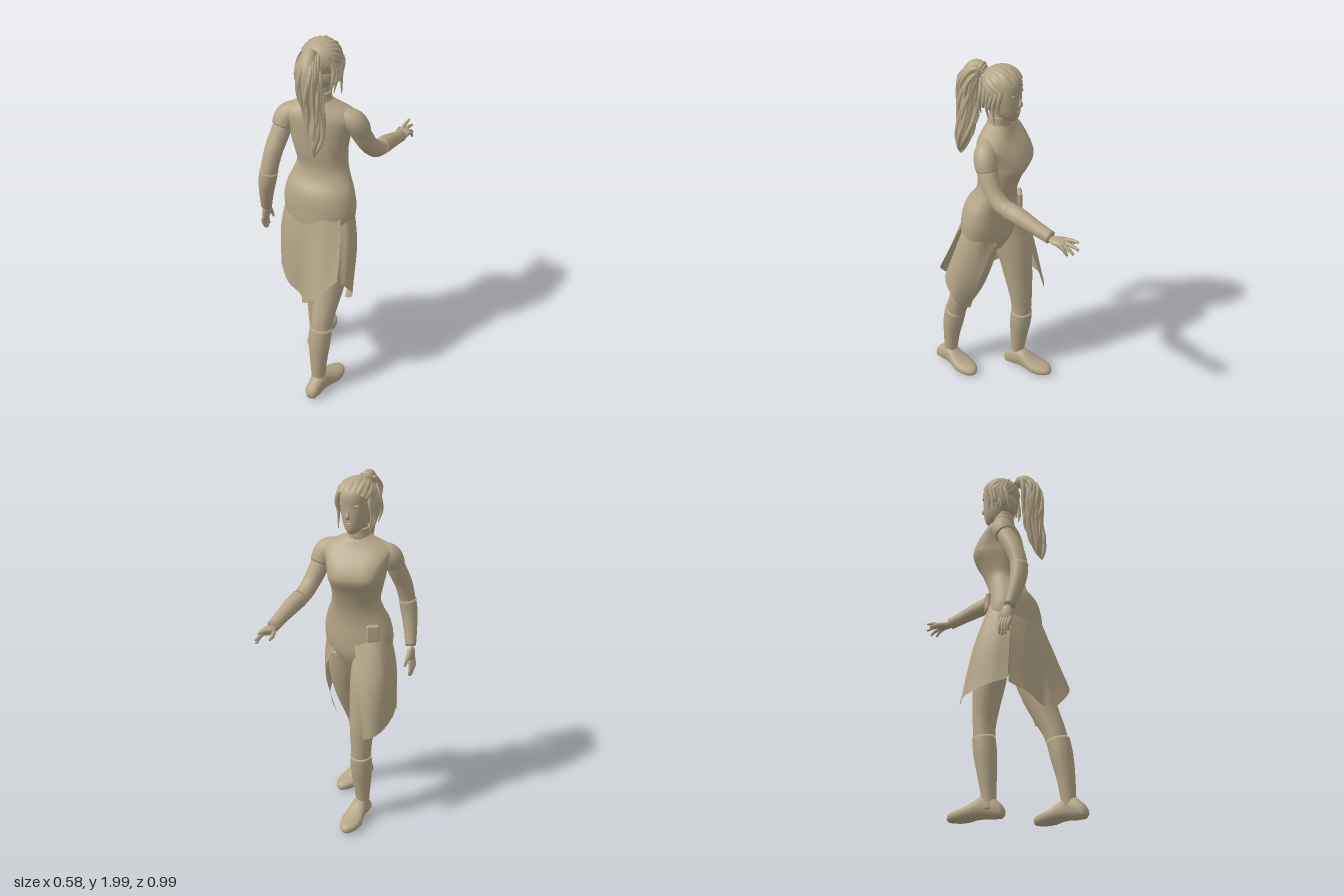
import * as THREE from 'three';
import { RoundedBoxGeometry } from 'three/addons/geometries/RoundedBoxGeometry.js';

const clay = new THREE.MeshStandardMaterial({ color: 0xb5a688, side: THREE.DoubleSide });
clay.name = 'tan clay';
const V = (x, y, z) => new THREE.Vector3(x, y, z);

function add(parent, name, geometry) {
  const mesh = new THREE.Mesh(geometry, clay);
  mesh.name = name;
  parent.add(mesh);
  return mesh;
}

// Skin a list of closed rings and cap both ends
function skin(rings) {
  const n = rings[0].length, pos = [], idx = [];
  rings.forEach(r => r.forEach(p => pos.push(p.x, p.y, p.z)));
  for (let i = 0; i < rings.length - 1; i++)
    for (let j = 0; j < n; j++) {
      const a = i * n + j, b = i * n + (j + 1) % n;
      idx.push(a, a + n, b, b, a + n, b + n);
    }
  [0, rings.length - 1].forEach(i => {
    const c = V(0, 0, 0);
    rings[i].forEach(p => c.addScaledVector(p, 1 / n));
    const k = pos.length / 3;
    pos.push(c.x, c.y, c.z);
    for (let j = 0; j < n; j++) {
      const a = i * n + j, b = i * n + (j + 1) % n;
      if (i === 0) idx.push(k, a, b); else idx.push(k, b, a);
    }
  });
  const g = new THREE.BufferGeometry();
  g.setAttribute('position', new THREE.Float32BufferAttribute(pos, 3));
  g.setIndex(idx);
  g.computeVertexNormals();
  return g;
}

// Round limb through [x, y, z, radius] stations
function limb(stations, sides = 18, steps = 6) {
  const path = new THREE.CatmullRomCurve3(stations.map(s => V(s[0], s[1], s[2])));
  const radii = new THREE.CatmullRomCurve3(stations.map((s, i) => V(i, s[3], 0)));
  const count = (stations.length - 1) * steps, rings = [];
  let normal = V(1, 0, 0.01);
  for (let i = 0; i <= count; i++) {
    const t = i / count, p = path.getPoint(t), T = path.getTangent(t);
    normal = normal.clone().addScaledVector(T, -normal.dot(T)).normalize();
    const B = normal.clone().cross(T), r = Math.max(radii.getPoint(t).y, 0.001);
    rings.push(Array.from({ length: sides }, (_, j) => {
      const a = j / sides * Math.PI * 2;
      return p.clone().addScaledVector(normal, r * Math.cos(a)).addScaledVector(B, r * Math.sin(a));
    }));
  }
  return skin(rings);
}

// Upright form from [y, centreX, centreZ, halfWidth, backDepth, frontDepth, turn, frontRoundness]
function upright(levels, steps = 4, sides = 40) {
  const channel = k => new THREE.SplineCurve(levels.map((l, i) => new THREE.Vector2(i, l[k] ?? 0.9)));
  const curves = [0, 1, 2, 3, 4, 5, 6, 7].map(channel), count = (levels.length - 1) * steps;
  return skin(Array.from({ length: count + 1 }, (_, i) => {
    const [y, cx, cz, w, back, front, turn, round] = curves.map(c => c.getPoint(i / count).y);
    return Array.from({ length: sides }, (_, j) => {
      const a = j / sides * Math.PI * 2, s = Math.sin(a), c = Math.cos(a);
      const e = s > 0 ? (1 + round) / 2 : round;
      const x = w * Math.sign(c) * Math.pow(Math.abs(c), e);
      const z = (s > 0 ? back : -front) * Math.pow(Math.abs(s), e);
      return V(cx + x * Math.cos(turn) + z * Math.sin(turn), y, cz - x * Math.sin(turn) + z * Math.cos(turn));
    });
  }));
}

// Cloth panel through columns of waist, middle and hem points
function panel(cols, nu = 24, nv = 14) {
  const down = cols.map(c => new THREE.CatmullRomCurve3(c.map(p => V(...p))));
  const pos = [], idx = [];
  for (let v = 0; v <= nv; v++) {
    const across = new THREE.CatmullRomCurve3(down.map(c => c.getPoint(v / nv)));
    for (let u = 0; u <= nu; u++) pos.push(...across.getPoint(u / nu).toArray());
  }
  for (let v = 0; v < nv; v++)
    for (let u = 0; u < nu; u++) {
      const a = v * (nu + 1) + u, b = a + nu + 1;
      idx.push(a, b, a + 1, a + 1, b, b + 1);
    }
  const g = new THREE.BufferGeometry();
  g.setAttribute('position', new THREE.Float32BufferAttribute(pos, 3));
  g.setIndex(idx);
  g.computeVertexNormals();
  return g;
}

// Shoe from [z, halfWidth, sole, top], heel to toe
function shoe(parent, name, x, z, turn) {
  const secs = [[0.128, 0.02, 0.012, 0.05], [0.112, 0.036, 0, 0.075], [0.07, 0.041, 0, 0.115], [0.02, 0.043, 0.006, 0.13], [-0.02, 0.05, 0.006, 0.1],
    [-0.07, 0.06, 0, 0.074], [-0.11, 0.056, 0, 0.062], [-0.145, 0.042, 0.003, 0.055], [-0.165, 0.026, 0.008, 0.047], [-0.173, 0.01, 0.015, 0.035]];
  const m = add(parent, name, skin(secs.map(([sz, w, lo, hi]) => Array.from({ length: 20 }, (_, j) => {
    const a = j / 20 * Math.PI * 2, s = Math.sin(a);
    return V(w * Math.cos(a), (lo + hi) / 2 + (hi - lo) / 2 * Math.sign(s) * Math.pow(Math.abs(s), 0.75), sz);
  }))));
  m.position.set(x, 0.008, z);
  m.rotation.y = turn;
}

function ball(parent, name, p, s) {
  const m = add(parent, name, new THREE.SphereGeometry(1, 24, 16));
  m.position.set(...p);
  m.scale.set(...s);
}

export function createModel() {
  const g = new THREE.Group();
  g.name = 'walkingWoman';

  // Torso and neck
  add(g, 'torso', upright([
    [0.91, 0.01, 0.14, 0.05, 0.05, 0.05, -0.1, 1], [1.0, 0.015, 0.15, 0.172, 0.135, 0.105, -0.1, 1],
    [1.1, 0.015, 0.155, 0.2, 0.136, 0.12, -0.05, 1], [1.2, 0.015, 0.15, 0.183, 0.126, 0.115, 0, 1],
    [1.27, 0.012, 0.13, 0.153, 0.1, 0.105, 0.05, 1], [1.33, 0.009, 0.115, 0.132, 0.096, 0.108, 0.1],
    [1.4, 0, 0.11, 0.135, 0.105, 0.13, 0.2, 0.75], [1.46, -0.003, 0.11, 0.146, 0.105, 0.162, 0.22, 0.62],
    [1.5, -0.003, 0.11, 0.152, 0.104, 0.164, 0.22, 0.62], [1.55, -0.003, 0.112, 0.165, 0.1, 0.142, 0.22, 0.66],
    [1.6, -0.003, 0.115, 0.182, 0.09, 0.105, 0.22, 0.75], [1.632, -0.003, 0.117, 0.166, 0.075, 0.083, 0.22, 0.85],
    [1.655, -0.003, 0.116, 0.124, 0.064, 0.07, 0.2], [1.675, -0.003, 0.114, 0.082, 0.056, 0.058, 0.15],
    [1.7, -0.004, 0.11, 0.053, 0.05, 0.05, 0.1], [1.78, -0.005, 0.1, 0.048, 0.05, 0.048, 0]]));
  add(g, 'collar', upright([[1.675, -0.004, 0.113, 0.064, 0.056, 0.057, 0], [1.7, -0.004, 0.11, 0.058, 0.055, 0.055, 0],
    [1.73, -0.005, 0.107, 0.056, 0.054, 0.052, 0]]));

  // Arms: short sleeve, bare upper arm, long glove
  add(g, 'rightSleeve', limb([[0.06, 1.61, 0.108, 0.035], [0.12, 1.603, 0.1, 0.048], [0.163, 1.585, 0.088, 0.057], [0.184, 1.555, 0.075, 0.058], [0.195, 1.512, 0.06, 0.054]]));
  add(g, 'rightUpperArm', limb([[0.17, 1.58, 0.083, 0.045], [0.195, 1.5, 0.055, 0.05], [0.222, 1.41, 0.005, 0.046], [0.235, 1.365, -0.05, 0.045], [0.24, 1.348, -0.11, 0.042]]));
  add(g, 'rightGlove', limb([[0.238, 1.353, -0.09, 0.046], [0.243, 1.338, -0.16, 0.044], [0.249, 1.313, -0.25, 0.037], [0.253, 1.288, -0.338, 0.033]]));
  add(g, 'leftSleeve', limb([[-0.06, 1.61, 0.13, 0.035], [-0.12, 1.603, 0.143, 0.048], [-0.155, 1.585, 0.157, 0.057], [-0.17, 1.56, 0.17, 0.058], [-0.178, 1.525, 0.186, 0.054]]));
  add(g, 'leftUpperArm', limb([[-0.163, 1.58, 0.165, 0.045], [-0.18, 1.5, 0.2, 0.049], [-0.2, 1.4, 0.25, 0.047], [-0.213, 1.3, 0.278, 0.044], [-0.222, 1.25, 0.28, 0.042]]));
  add(g, 'leftGlove', limb([[-0.213, 1.3, 0.278, 0.048], [-0.225, 1.23, 0.279, 0.045], [-0.243, 1.13, 0.262, 0.036], [-0.257, 1.05, 0.24, 0.029]]));

  // Hands
  ball(g, 'rightPalm', [0.254, 1.282, -0.378], [0.034, 0.018, 0.05]);
  ball(g, 'leftPalm', [-0.267, 1.0, 0.227], [0.018, 0.053, 0.034]);
  const rightTips = [[0.245, 1.31, -0.485], [0.259, 1.275, -0.494], [0.27, 1.246, -0.474], [0.281, 1.236, -0.445]];
  rightTips.forEach(([x, y, z], i) => {
    const bx = 0.232 + i * 0.016;
    add(g, 'rightFinger', limb([[bx, 1.283, -0.39, 0.011], [(bx + x) / 2, (1.295 + y) / 2, (z - 0.4) / 2, 0.01], [x, y, z, 0.006]], 8, 4));
    const z0 = 0.25 - i * 0.016;
    add(g, 'leftFinger', limb([[-0.27, 0.98, z0, 0.011], [-0.28, 0.935, z0 - 0.008, 0.01], [-0.273, [0.905, 0.888, 0.885, 0.895][i], z0 - 0.013, 0.006]], 8, 4));
  });
  add(g, 'rightThumb', limb([[0.24, 1.28, -0.355, 0.015], [0.213, 1.274, -0.405, 0.012], [0.206, 1.268, -0.448, 0.006]], 8));
  add(g, 'leftThumb', limb([[-0.262, 1.03, 0.22, 0.015], [-0.26, 0.985, 0.19, 0.011], [-0.25, 0.945, 0.182, 0.006]], 8));

  // Legs, boots and shoes
  add(g, 'leftLeg', limb([[-0.075, 1.02, 0.135, 0.1], [-0.082, 0.86, 0.075, 0.097], [-0.078, 0.7, 0.045, 0.082], [-0.073, 0.56, 0.024, 0.066], [-0.073, 0.48, 0.018, 0.058], [-0.073, 0.38, 0.02, 0.055]]));
  add(g, 'leftBoot', limb([[-0.073, 0.43, 0.016, 0.06], [-0.073, 0.34, 0.024, 0.06], [-0.073, 0.23, 0.034, 0.049], [-0.073, 0.12, 0.042, 0.038], [-0.073, 0.05, 0.045, 0.036]]));
  shoe(g, 'leftShoe', -0.067, -0.008, 0.03);
  add(g, 'rightLeg', limb([[0.1, 1.02, 0.165, 0.1], [0.112, 0.86, 0.195, 0.097], [0.113, 0.7, 0.24, 0.085], [0.11, 0.57, 0.29, 0.07], [0.108, 0.48, 0.328, 0.06], [0.107, 0.38, 0.355, 0.054]]));
  add(g, 'rightBoot', limb([[0.107, 0.43, 0.348, 0.061], [0.107, 0.34, 0.366, 0.059], [0.109, 0.23, 0.383, 0.048], [0.112, 0.12, 0.392, 0.039], [0.114, 0.05, 0.4, 0.036]]));
  shoe(g, 'rightShoe', 0.126, 0.364, -0.2);

  // Split skirt with pointed hems; the back steps outward over the trailing leg
  add(g, 'skirtBack', panel([
    [[-0.13, 1.22, 0.19], [-0.185, 0.95, 0.215], [-0.2, 0.66, 0.205]], [[-0.07, 1.22, 0.235], [-0.11, 0.93, 0.28], [-0.12, 0.615, 0.285]],
    [[-0.01, 1.22, 0.255], [-0.025, 0.93, 0.308], [-0.025, 0.58, 0.318]], [[0.02, 1.22, 0.255], [0.01, 0.93, 0.318], [0.005, 0.57, 0.36]],
    [[0.09, 1.22, 0.235], [0.1, 0.94, 0.334], [0.11, 0.68, 0.415]], [[0.14, 1.22, 0.195], [0.19, 0.99, 0.285], [0.21, 0.79, 0.37]]]));
  add(g, 'skirtLeft', panel([
    [[-0.12, 1.2, 0.2], [-0.185, 0.95, 0.212], [-0.198, 0.68, 0.2]], [[-0.15, 1.2, 0.15], [-0.206, 0.95, 0.14], [-0.218, 0.66, 0.11]],
    [[-0.135, 1.18, 0.09], [-0.195, 0.93, 0.04], [-0.213, 0.63, 0]], [[-0.09, 1.13, 0.055], [-0.145, 0.88, -0.02], [-0.185, 0.61, -0.06]],
    [[-0.02, 1.08, 0.036], [-0.085, 0.85, -0.04], [-0.14, 0.595, -0.09]]]));
  add(g, 'skirtRight', panel([
    [[0.13, 1.2, 0.21], [0.182, 0.98, 0.265], [0.215, 0.75, 0.335]], [[0.165, 1.2, 0.185], [0.214, 0.97, 0.24], [0.238, 0.72, 0.315]],
    [[0.18, 1.18, 0.15], [0.23, 0.95, 0.19], [0.252, 0.65, 0.265]], [[0.165, 1.16, 0.095], [0.222, 0.89, 0.145], [0.228, 0.59, 0.235]],
    [[0.05, 1.135, 0.038], [0.192, 0.86, 0.1], [0.18, 0.55, 0.2]]]));
  const pouch = add(g, 'hipPouch', new RoundedBoxGeometry(0.07, 0.095, 0.026, 3, 0.01));
  pouch.position.set(-0.118, 1.165, 0.057);
  pouch.rotation.y = 0.6;

  // Head and face
  add(g, 'head', upright([
    [1.713, -0.005, 0.08, 0.022, 0.02, 0.066, 0], [1.735, -0.005, 0.08, 0.043, 0.04, 0.081, 0], [1.77, -0.005, 0.08, 0.06, 0.06, 0.086, 0],
    [1.81, -0.005, 0.08, 0.069, 0.08, 0.089, 0], [1.85, -0.005, 0.08, 0.074, 0.095, 0.09, 0], [1.91, -0.005, 0.08, 0.074, 0.1, 0.094, 0],
    [1.95, -0.005, 0.08, 0.063, 0.085, 0.077, 0], [1.98, -0.005, 0.08, 0.033, 0.05, 0.04, 0]]));
  add(g, 'nose', limb([[-0.005, 1.86, -0.003, 0.005], [-0.005, 1.83, -0.011, 0.008], [-0.005, 1.81, -0.016, 0.011], [-0.005, 1.8, -0.005, 0.009]], 10));
  [1, -1].forEach(s => {
    ball(g, 'eye', [-0.005 + s * 0.031, 1.846, 0.007], [0.014, 0.007, 0.009]);
    ball(g, 'brow', [-0.005 + s * 0.031, 1.866, 0.003], [0.024, 0.008, 0.008]);
    ball(g, 'ear', [-0.005 + s * 0.074, 1.835, 0.1], [0.01, 0.027, 0.017]);
  });
  ball(g, 'upperLip', [-0.005, 1.773, -0.003], [0.019, 0.005, 0.007]);
  ball(g, 'lowerLip', [-0.005, 1.764, -0.002], [0.015, 0.005, 0.007]);

  // Swept-back hair, ridged toward the tie
  const cap = new THREE.SphereGeometry(1, 120, 24, 0, Math.PI * 2, 0, 2.0);
  const p = cap.attributes.position;
  for (let i = 0; i < p.count; i++) {
    const a = Math.atan2(p.getZ(i), p.getX(i)), k = 1 + 0.02 * Math.sin(a * 23) + 0.015 * Math.sin(a * 11 + 5 * p.getY(i));
    p.setXYZ(i, p.getX(i) * k, p.getY(i), p.getZ(i) * k);
  }
  cap.rotateX(0.9).scale(0.103, 0.098, 0.107).translate(-0.005, 1.895, 0.09);
  cap.computeVertexNormals();
  add(g, 'hairCap', cap);
  ball(g, 'napeHair', [-0.005, 1.825, 0.118], [0.084, 0.075, 0.07]);
  const tie = add(g, 'hairTie', new THREE.TorusGeometry(0.024, 0.01, 10, 24));
  tie.position.set(-0.003, 1.955, 0.205);
  tie.rotation.x = -0.3;

  // Ponytail: core with seeded wavy strands
  let seed = 7;
  const rnd = () => (seed = (seed * 16807) % 2147483647) / 2147483647;
  const tail = [[-0.005, 1.95, 0.185, 0.022], [0, 1.962, 0.23, 0.032], [0.01, 1.9, 0.268, 0.047], [0.022, 1.8, 0.272, 0.05],
    [0.04, 1.7, 0.266, 0.044], [0.055, 1.6, 0.28, 0.036], [0.06, 1.53, 0.294, 0.022], [0.058, 1.475, 0.308, 0.003]];
  add(g, 'ponytail', limb(tail));
  for (let i = 0; i < 28; i++) {
    const a = i * 2.4, end = 5 + i % 4, twist = 0.2 + rnd() * 0.4;
    add(g, 'ponytailStrand', limb(tail.slice(0, end).map(([x, y, z, r], j) => {
      const b = a + j * twist + rnd() * 0.5, d = r * (0.85 + rnd() * 0.4);
      return [x + d * Math.cos(b), y - rnd() * 0.015, z + d * Math.sin(b) * 0.9, j === 0 || j === end - 1 ? 0.002 : 0.011];
    }), 7, 4));
  }

  // Loose locks beside the face and over the ears
  [1, -1].forEach(s => {
    for (let i = 0; i < 6; i++) {
      const z = 0.045 + i * 0.022, low = 1.71 + rnd() * 0.1;
      add(g, 'sideLock', limb([[-0.005 + s * 0.07, 1.945, z + 0.015, 0.004], [-0.005 + s * 0.094, 1.88, z, 0.012],
        [-0.005 + s * (0.088 + rnd() * 0.016), 1.81, z + 0.006 + rnd() * 0.015, 0.009], [-0.005 + s * (0.08 + rnd() * 0.02), low, z + rnd() * 0.02, 0.002]], 7, 4));
    }
  });
  return g;
}
